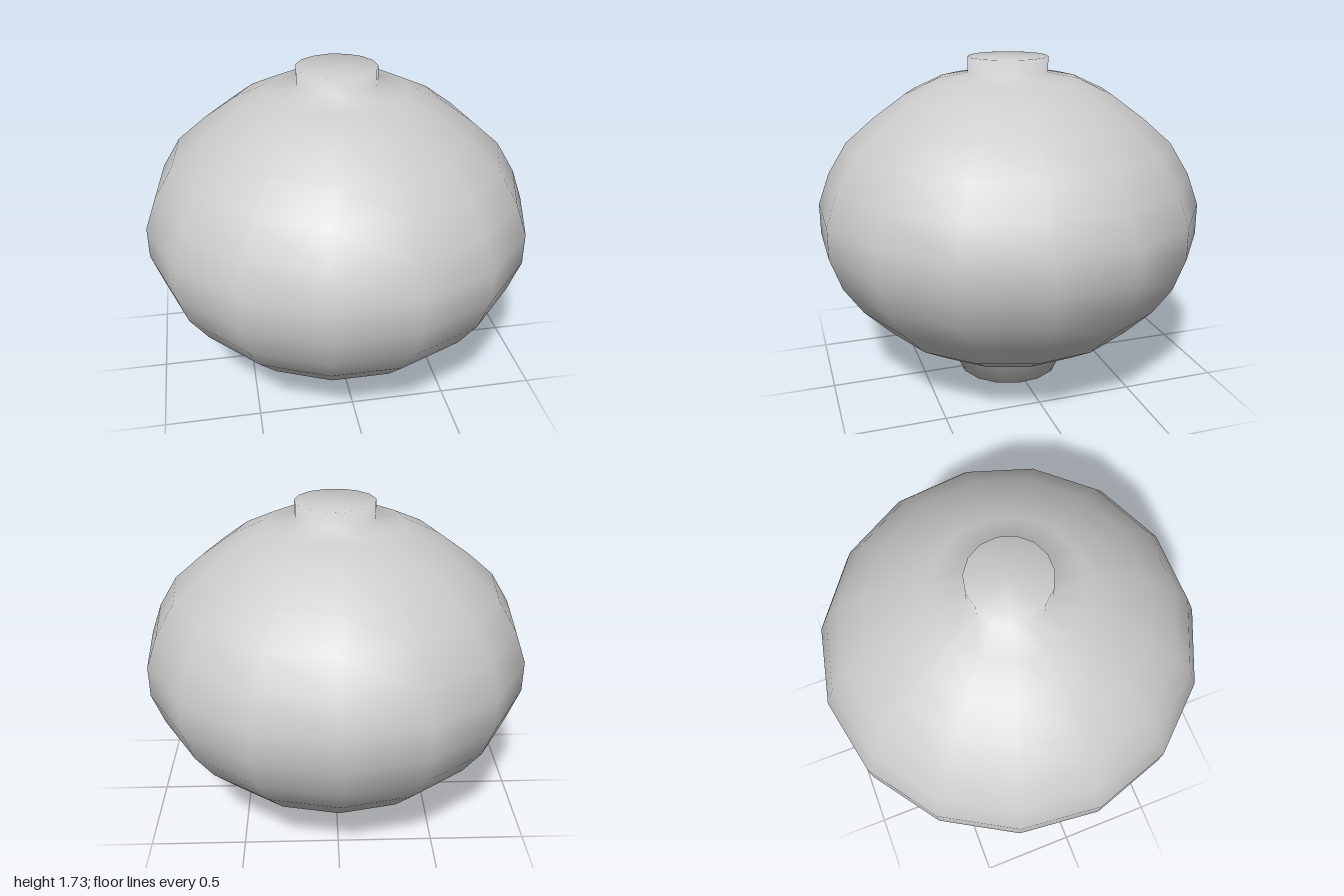
import * as THREE from 'three';

const SIDES = 15;

export function createModel() {
  const group = new THREE.Group();
  group.name = 'lantern';

  // Half profile as [radius, height], from the foot's underside to the collar's top
  const profile = [
    [0, 0], [0.28, 0], [0.28, 0.16],                    // foot
    [0.385, 0.207], [0.535, 0.234], [0.7, 0.338],       // lower body
    [0.845, 0.487], [0.945, 0.635], [1.005, 0.805],
    [1.005, 0.968], [0.945, 1.132], [0.845, 1.295],     // upper body
    [0.7, 1.42], [0.535, 1.54], [0.365, 1.62],
    [0.207, 1.65], [0.207, 1.73], [0, 1.73],            // collar
  ].map(([r, y]) => new THREE.Vector2(r, y));

  // One smooth turned surface, with a corner at the back and a flat at the front
  const geometry = new THREE.LatheGeometry(profile, SIDES, Math.PI);
  geometry.translate(0, 0, 0.011);

  const body = new THREE.Mesh(geometry, new THREE.MeshStandardMaterial({ color: 0xcccccc }));
  body.name = 'lanternBody';
  group.add(body);
  return group;
}
